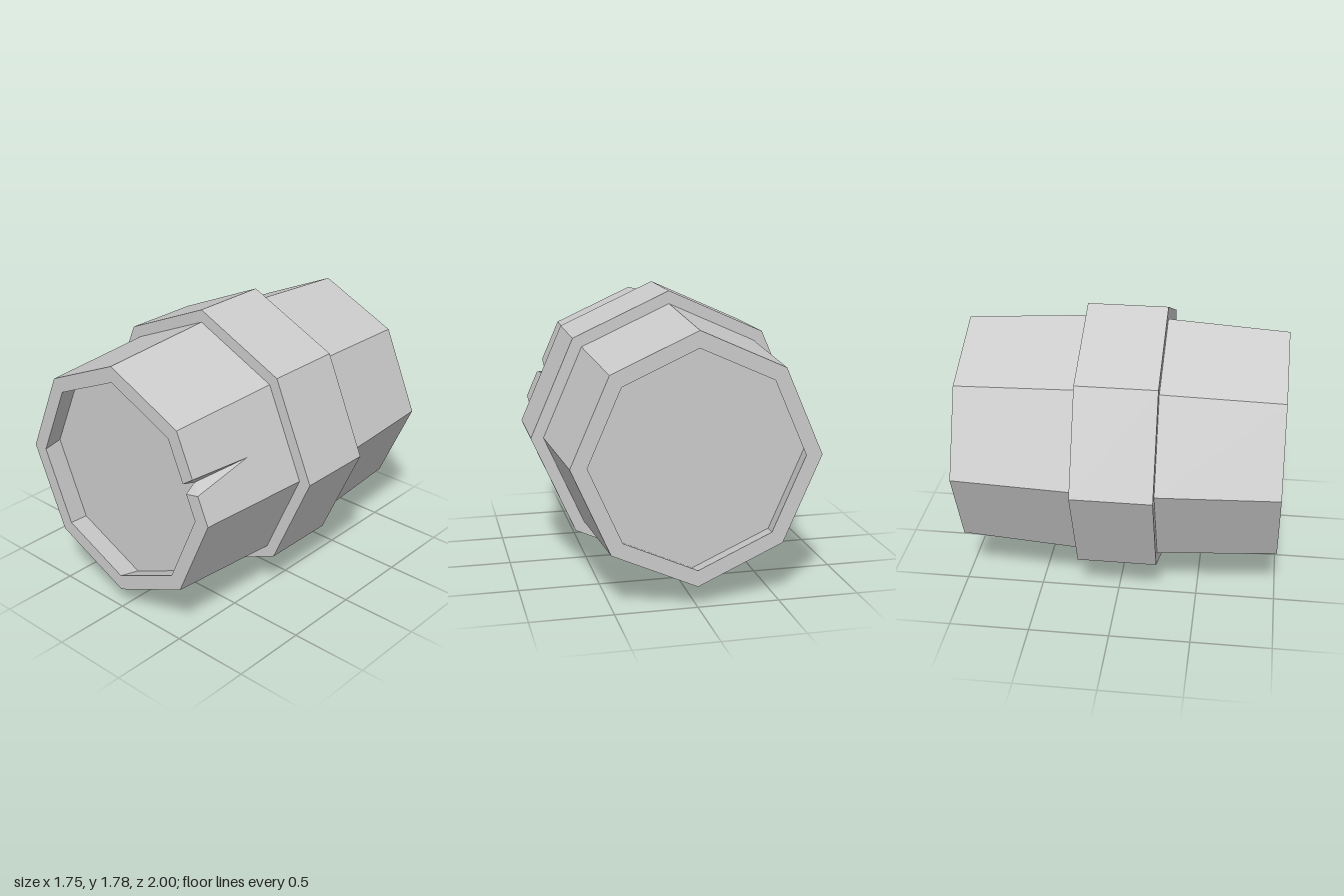
import * as THREE from 'three';

const CY = 0.888;                                  // height of the barrel's axis
const HOOP = { r: 0.888, z: 0.25 };
const BODY = { endR: 0.76, midR: 0.808, innerR: 0.659, lidR: 0.695, lidZ: 0.855 };

// Corners of the slightly narrow octagon, counter-clockwise seen from the front
const octagon = (r, z) => Array.from({ length: 8 }, (_, k) => {
  const a = k * Math.PI / 4, s = k % 2 ? 0.98 : 1;
  return new THREE.Vector3((k % 2 ? 0.96 : 0.983) * r * Math.cos(a), s * r * Math.sin(a), z);
});

// Flat faces, each given as a fan of corners
function facetMesh(name, polygons, material) {
  const points = [];
  for (const p of polygons)
    for (let i = 1; i < p.length - 1; i++) points.push(p[0], p[i], p[i + 1]);
  const geometry = new THREE.BufferGeometry().setFromPoints(points);
  geometry.computeVertexNormals();
  const mesh = new THREE.Mesh(geometry, material);
  mesh.name = name;
  return mesh;
}

// One half of the barrel: tapered staves, rim, undercut recess and lid, facing +z
function barrelHalf(name, material, notched) {
  const mid = octagon(BODY.midR, HOOP.z), end = octagon(BODY.endR, 1);
  const inner = octagon(BODY.innerR, 1), lid = octagon(BODY.lidR, BODY.lidZ);
  const along = (ring, t) => ring[0].clone().lerp(ring[1], t);
  const staves = [], rim = [], recess = [], notch = [];
  for (let k = 0; k < 8; k++) {
    const n = (k + 1) % 8;
    if (notched && k === 0) {
      // Split in the wood: a V cut that runs out along the stave
      const outLow = along(end, 0.325), outHigh = along(end, 0.495);
      const inLow = along(inner, 0.33), inHigh = along(inner, 0.452);
      const tip = along(mid, 0.453).lerp(along(end, 0.453), 0.44);
      const valley = along(inner, 0.418).lerp(along(lid, 0.418), 0.48);
      staves.push([tip, outLow, end[0], mid[0], mid[1], end[1], outHigh]);
      rim.push([inner[0], end[0], outLow, inLow], [inHigh, outHigh, end[1], inner[1]]);
      recess.push([valley, inHigh, inner[1], lid[1], lid[0], inner[0], inLow]);
      notch.push([outLow, tip, valley, inLow], [outHigh, inHigh, valley, tip]);
    } else {
      staves.push([end[k], mid[k], mid[n], end[n]]);
      rim.push([inner[k], end[k], end[n], inner[n]]);
      recess.push([inner[k], inner[n], lid[n], lid[k]]);
    }
  }
  const half = new THREE.Group();
  half.name = name;
  half.add(
    facetMesh('staves', staves, material),
    facetMesh('rim', rim, material),
    facetMesh('recessWall', recess, material),
    facetMesh('lid', [lid], material));
  if (notched) half.add(facetMesh('notch', notch, material));
  return half;
}

export function createModel() {
  const material = new THREE.MeshStandardMaterial({ color: 0xcccccc, flatShading: true });
  const barrel = new THREE.Group();
  barrel.name = 'barrel';

  const front = barrelHalf('frontHalf', material, true);
  const back = barrelHalf('backHalf', material, false);
  back.rotation.y = Math.PI;

  // Raised hoop around the middle
  const outline = new THREE.Shape(octagon(HOOP.r, 0).map(p => new THREE.Vector2(p.x, p.y)));
  const hoopGeometry = new THREE.ExtrudeGeometry(outline, { depth: 2 * HOOP.z, bevelEnabled: false });
  hoopGeometry.translate(0, 0, -HOOP.z);
  const hoop = new THREE.Mesh(hoopGeometry, material);
  hoop.name = 'hoop';

  barrel.add(front, back, hoop);
  barrel.position.y = CY;
  const model = new THREE.Group();
  model.name = 'barrelModel';
  model.add(barrel);
  return model;
}
